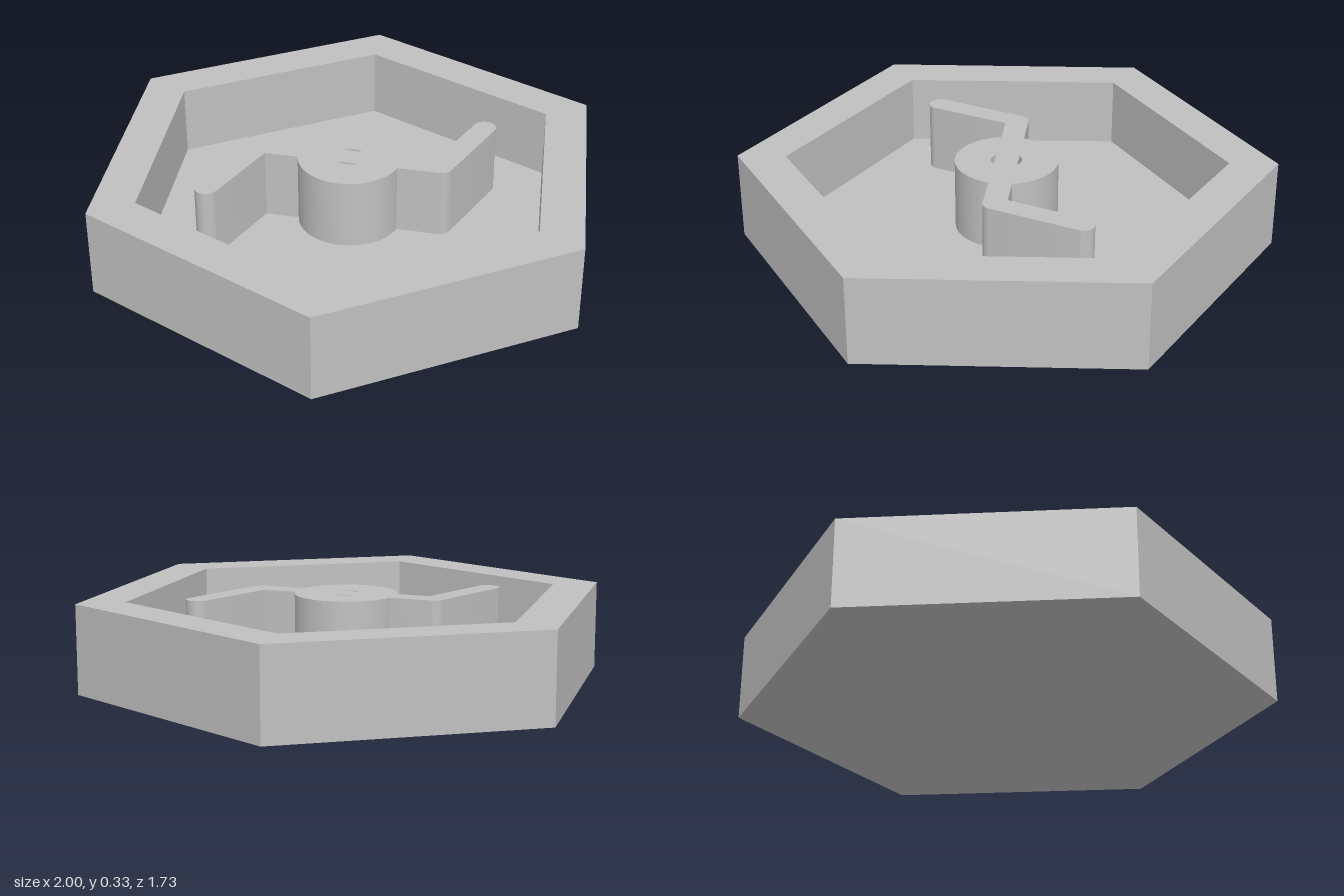
import * as THREE from 'three';
import { toCreasedNormals } from 'three/addons/utils/BufferGeometryUtils.js';

const HEIGHT = 0.333;   // rim height
const FLOOR = 0.067;    // floor thickness
const HUB = 0.192;      // hub radius
const BORE = 0.057;     // hub bore radius
const W = 0.043;        // half width of the arms
const ELBOW = new THREE.Vector2(0.28, -0.197);
const TIP = new THREE.Vector2(0.557, 0);

export function createModel() {
  const group = new THREE.Group();
  const grey = new THREE.MeshStandardMaterial({ color: 0xc0c0c0 });
  grey.name = 'grey';

  const add = (name, geometry) => {
    const mesh = new THREE.Mesh(geometry, grey);
    mesh.name = name;
    group.add(mesh);
  };

  // Hexagonal tray: floor and walls turned as one six-sided profile
  const profile = [[0, 0], [1, 0], [1, HEIGHT], [0.82, HEIGHT], [0.82, FLOOR], [0, FLOOR]]
    .map(([r, y]) => new THREE.Vector2(r, y));
  add('hexagonalTray', toCreasedNormals(new THREE.LatheGeometry(profile, 6, Math.PI / 2), 0.1));

  // Hub with two bent, round-ended arms: one outline, the second half turned by 180 degrees
  const q = Math.PI / 2;
  const a = Math.atan2(ELBOW.y, ELBOW.x);       // direction of the inner arm
  const t = Math.atan2(TIP.y - ELBOW.y, TIP.x - ELBOW.x); // direction of the outer arm
  const b = Math.asin(W / HUB);
  const shape = new THREE.Shape();
  shape.moveTo(HUB * Math.cos(a - b), HUB * Math.sin(a - b));
  for (const s of [1, -1]) {
    const turn = s > 0 ? 0 : Math.PI;
    shape.absarc(s * ELBOW.x, s * ELBOW.y, W, a - q + turn, t - q + turn);
    shape.absarc(s * TIP.x, s * TIP.y, W, t - q + turn, t + q + turn);
    shape.lineTo(s * ELBOW.x, s * (ELBOW.y + W / Math.cos(a)));
    shape.absarc(0, 0, HUB, a + b + turn, a + Math.PI - b + turn);
  }

  // Two bore openings left on either side of the bar
  const half = Math.acos(W / BORE);
  for (const side of [a + q, a - q]) {
    const hole = new THREE.Path();
    hole.absarc(0, 0, BORE, side - half, side + half);
    hole.closePath();
    shape.holes.push(hole);
  }

  const divider = new THREE.ExtrudeGeometry(shape, {
    depth: HEIGHT - FLOOR, bevelEnabled: false, curveSegments: 24,
  });
  divider.rotateX(-q);
  divider.translate(0, FLOOR, 0);
  add('hubWithArms', toCreasedNormals(divider, 0.4));

  return group;
}
